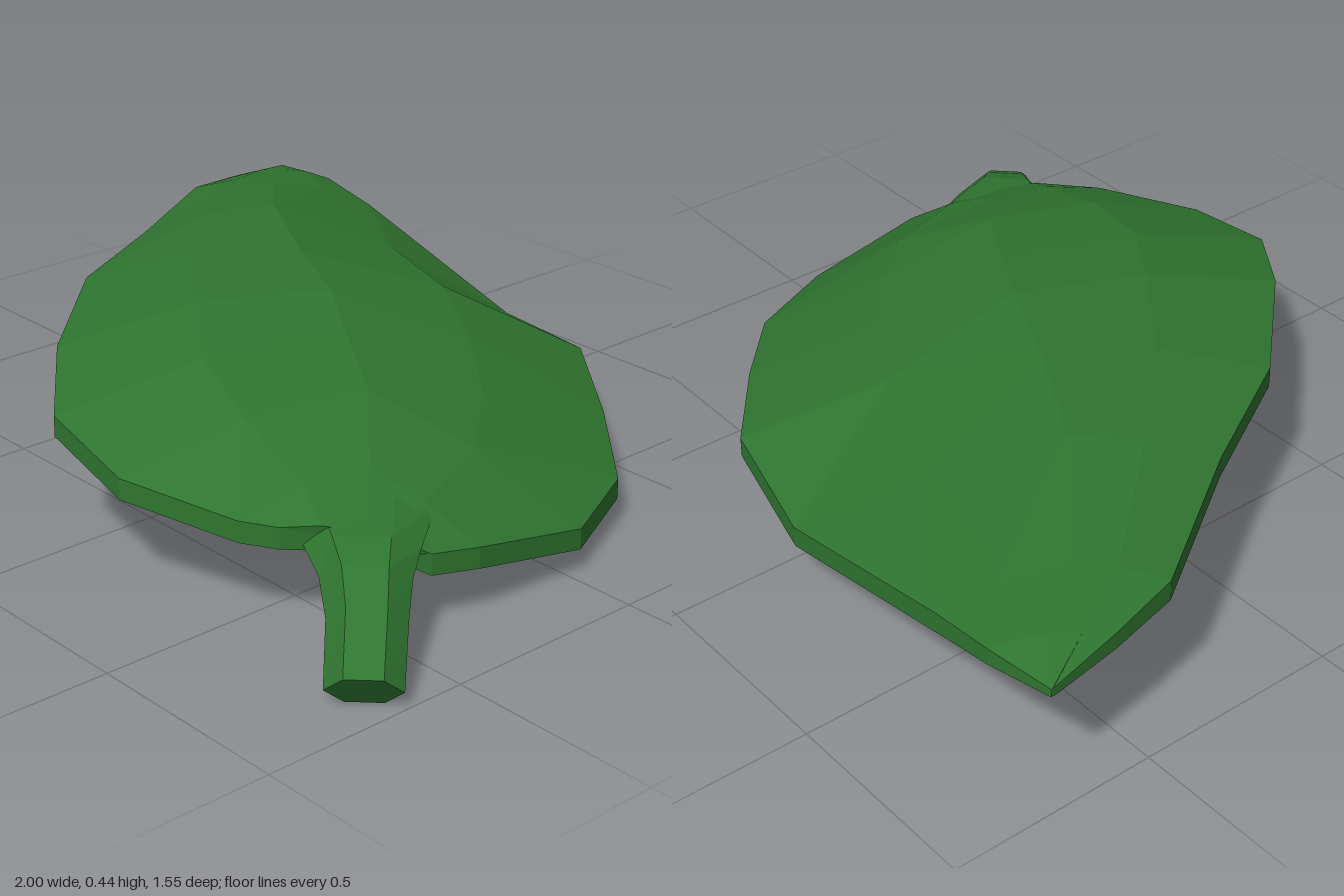
import * as THREE from 'three';

// Joins rings of points (all the same length) into one skin; caps close both ends.
function skin(rings, material, name) {
  const pos = [];
  const tri = (a, b, c) => pos.push(...a, ...b, ...c);
  const n = rings[0].length;
  for (let s = 0; s < rings.length - 1; s++) {
    for (let j = 0; j < n; j++) {
      const k = (j + 1) % n, p = rings[s], q = rings[s + 1];
      tri(p[j], q[j], p[k]);
      tri(p[k], q[j], q[k]);
    }
  }
  const first = rings[0], last = rings[rings.length - 1];
  for (let j = 1; j < n - 1; j++) {
    tri(first[0], first[j], first[j + 1]);
    tri(last[0], last[j + 1], last[j]);
  }
  const geo = new THREE.BufferGeometry();
  geo.setAttribute('position', new THREE.Float32BufferAttribute(pos, 3));
  geo.computeVertexNormals();
  const mesh = new THREE.Mesh(geo, material);
  mesh.name = name;
  return mesh;
}

export function createModel() {
  const group = new THREE.Group();
  group.name = 'leaf';
  const green = new THREE.MeshStandardMaterial({ color: 0x2f7530, flatShading: true });
  green.name = 'leafGreen';

  // Blade stations from stem to tip: back edge, midrib, front edge
  const stations = [
    [[0.80, 0.18, 0.39], [0.72, 0.235, 0.50], [0.60, 0.245, 0.63]],
    [[0.83, 0.17, 0.28], [0.60, 0.30, 0.38], [0.53, 0.25, 0.68]],
    [[0.83, 0.11, -0.03], [0.42, 0.375, 0.22], [0.25, 0.275, 0.77]],
    [[0.72, 0.115, -0.27], [0.22, 0.41, 0.10], [-0.02, 0.32, 0.74]],
    [[0.50, 0.155, -0.46], [0.03, 0.435, -0.02], [-0.24, 0.37, 0.57]],
    [[0.25, 0.185, -0.65], [-0.20, 0.44, -0.13], [-0.52, 0.385, 0.28]],
    [[-0.08, 0.16, -0.73], [-0.50, 0.445, -0.30], [-0.70, 0.38, -0.04]],
    [[-0.65, 0.30, -0.77], [-0.77, 0.39, -0.53], [-0.93, 0.365, -0.39]],
    [[-0.83, 0.33, -0.78], [-0.90, 0.36, -0.68], [-0.97, 0.35, -0.57]],
    [[-1, 0.33, -0.76], [-1, 0.332, -0.757], [-1, 0.33, -0.754]],
  ];
  // Point halfway between rib and edge, bulged upward
  const between = (a, b) => {
    const span = Math.hypot(a[0] - b[0], a[2] - b[2]);
    return [(a[0] + b[0]) / 2, (a[1] + b[1]) / 2 + span * 0.055, (a[2] + b[2]) / 2];
  };
  const bladeRings = stations.map(([back, rib, front], i) => {
    const top = [back, between(back, rib), rib, between(rib, front), front];
    const thick = i === 9 ? 0.02 : i === 8 ? 0.04 : 0.05;
    const under = top.map(([x, y, z]) => [x, y - thick, z]).reverse();
    return [...top, ...under];
  });
  group.add(skin(bladeRings, green, 'blade'));

  // Stem: six-sided, drooping away from the blade; centre, half width, half height
  const stemPath = [
    [0.60, 0.235, 0.42, 0.17, 0.035],
    [0.72, 0.205, 0.51, 0.12, 0.045],
    [0.78, 0.175, 0.555, 0.095, 0.05],
    [0.85, 0.13, 0.615, 0.083, 0.05],
    [0.945, 0.045, 0.71, 0.08, 0.05],
  ];
  const side = new THREE.Vector3(0.7, 0, -0.7).normalize();
  const up = new THREE.Vector3(0.4, 0.82, 0.4).normalize();
  const stemRings = stemPath.map(([x, y, z, w, h]) =>
    Array.from({ length: 6 }, (_, k) => {
      const a = (k / 6) * Math.PI * 2;
      return new THREE.Vector3(x, y, z)
        .addScaledVector(side, Math.cos(a) * w)
        .addScaledVector(up, Math.sin(a) * h * 1.15).toArray();
    }));
  // Rings run from the free end inward so the faces point outward
  group.add(skin(stemRings.reverse(), green, 'stem'));

  return group;
}
